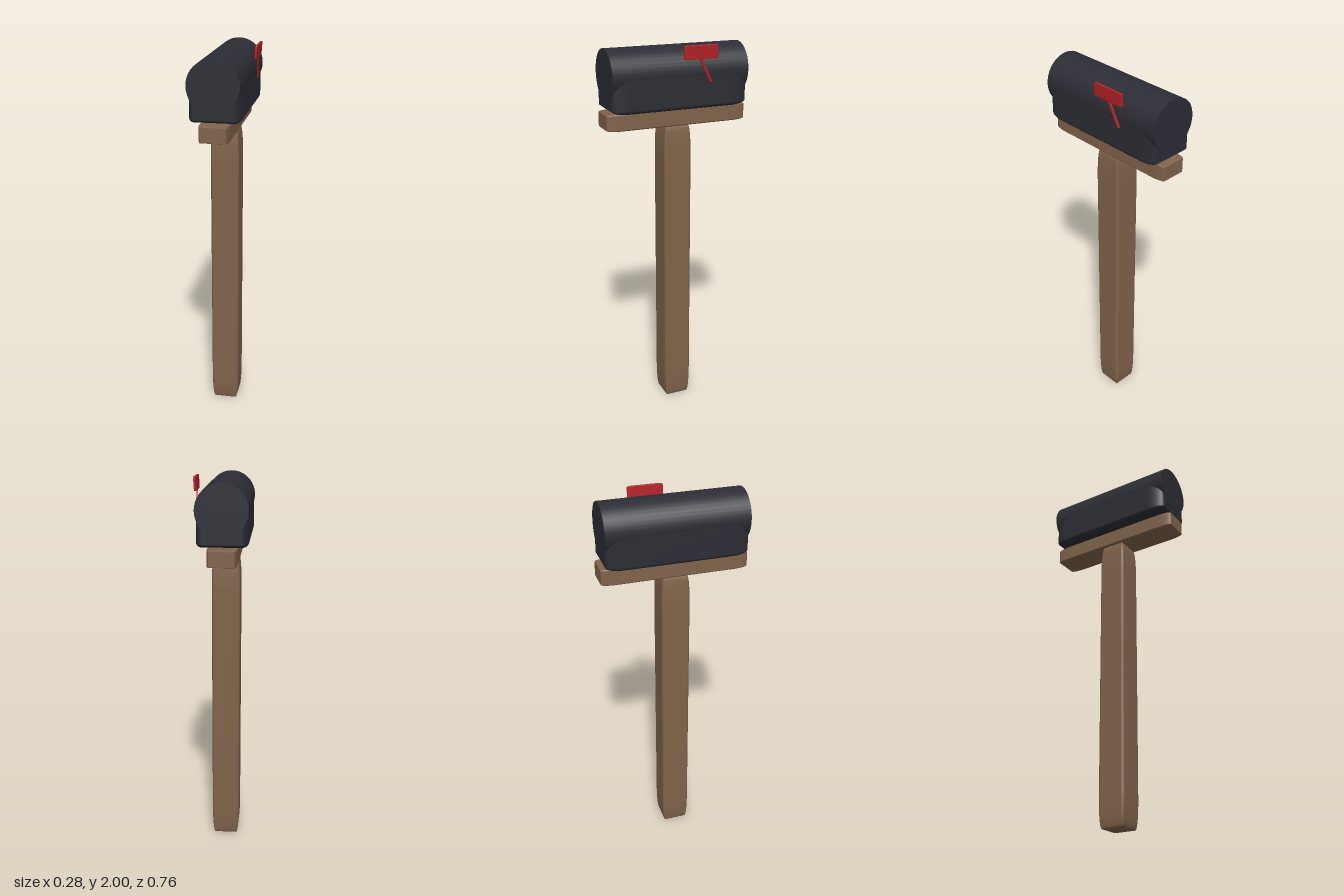
import * as THREE from 'three';
import { RoundedBoxGeometry } from 'three/addons/geometries/RoundedBoxGeometry.js';

const material = (name, color) => {
  const m = new THREE.MeshStandardMaterial({ color });
  m.name = name;
  return m;
};

export function createModel() {
  const wood = material('brown wood', 0x80634a);
  const metal = material('dark metal', 0x2c2d35);
  const red = material('red paint', 0xb42226);
  const model = new THREE.Group();
  model.name = 'mailbox';

  const add = (name, geometry, mat, position) => {
    const mesh = new THREE.Mesh(geometry, mat);
    mesh.name = name;
    mesh.position.set(...position);
    model.add(mesh);
    return mesh;
  };
  // Rounded cube stretched to size, so its bevels stretch along the long side
  const softBox = (w, h, d, bevel = 0.1) =>
    new RoundedBoxGeometry(1, 1, 1, 4, bevel).scale(w, h, d);

  const cx = -0.013;

  // Wooden stand
  add('post', softBox(0.148, 1.59, 0.15), wood, [cx, 0.795, 0]);
  add('supportBoard', softBox(0.148, 0.09, 0.756), wood, [cx, 1.635, 0]);

  // Box: softened base with a full round barrel sunk into it
  add('boxBase', softBox(0.254, 0.185, 0.722, 0.12), metal, [cx, 1.7725, 0]);
  const barrel = new THREE.CylinderGeometry(0.128, 0.128, 0.724, 40).rotateX(Math.PI / 2);
  add('boxBarrel', barrel, metal, [cx, 1.861, 0]);

  // Signal flag: slanted arm and plate leaning slightly outward
  const low = new THREE.Vector3(0.122, 1.815, -0.15);
  const high = new THREE.Vector3(0.129, 1.945, -0.085);
  const arm = add('flagArm', softBox(0.009, low.distanceTo(high), 0.013), red,
    low.clone().add(high).multiplyScalar(0.5).toArray());
  arm.quaternion.setFromUnitVectors(new THREE.Vector3(0, 1, 0), high.clone().sub(low).normalize());
  const plate = add('flagPlate', softBox(0.011, 0.069, 0.18), red, [0.131, 1.965, -0.091]);
  plate.rotation.z = -0.06;

  return model;
}
